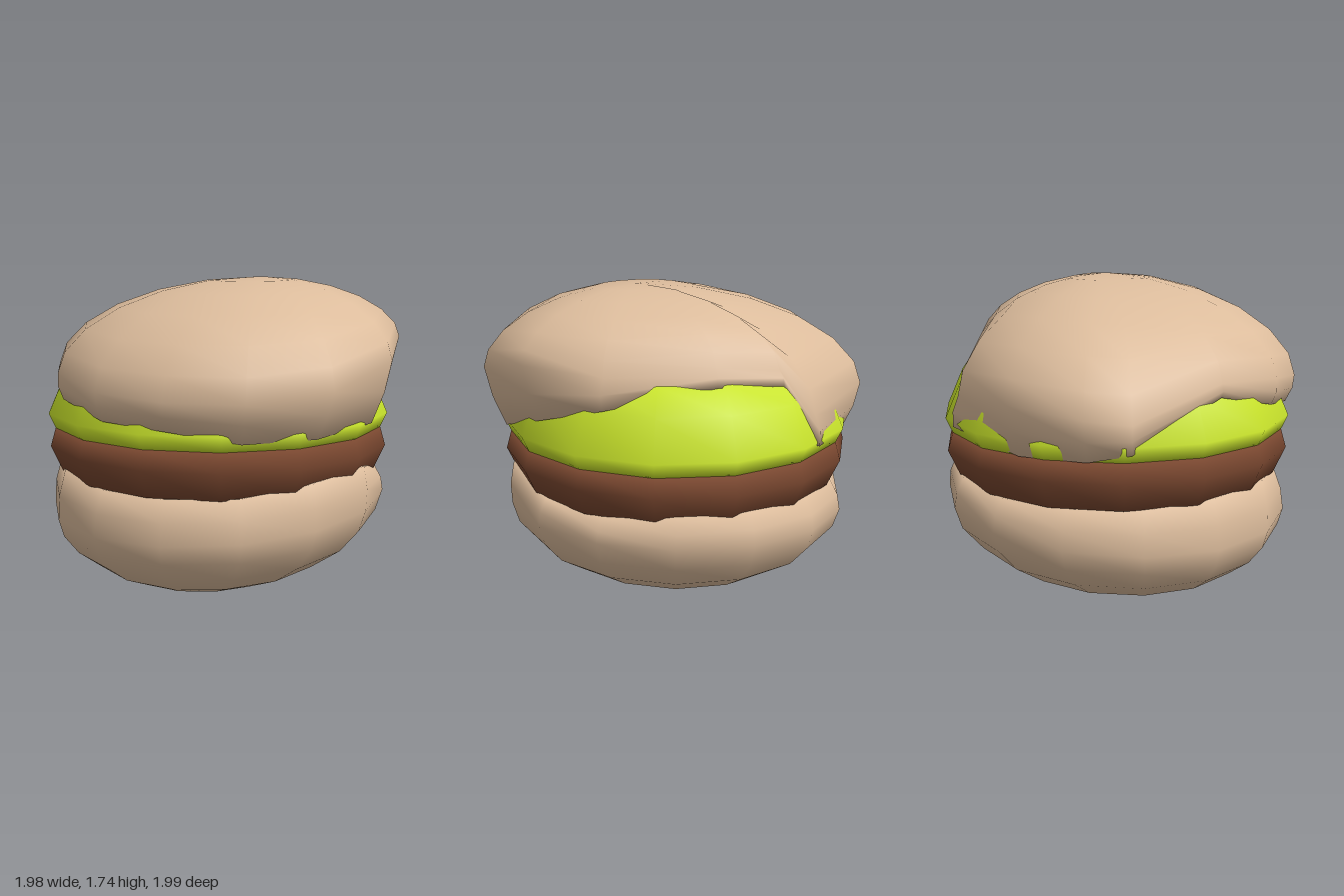
import * as THREE from 'three';
import { mergeVertices } from 'three/addons/utils/BufferGeometryUtils.js';

const SIDES = 15;
const CX = -0.03, CZ = -0.03; // axis shared by the two fillings

// [radius, height] profiles, bottom to top
const pattyProfile = [[0, 0.5], [0.5, 0.55], [0.9, 0.68], [0.965, 0.83], [0.935, 0.93], [0.5, 1.0], [0, 1.02]];
const lettuceProfile = [[0, 0.88], [0.5, 0.89], [0.935, 0.93], [0.97, 1.01], [0.88, 1.21], [0.79, 1.34], [0.5, 1.42], [0, 1.45]];

const mat = (color) => new THREE.MeshStandardMaterial({ color });

function part(name, geometry, color) {
  const mesh = new THREE.Mesh(geometry, mat(color));
  mesh.name = name;
  return mesh;
}

// Turned filling layer
function layer(name, profile, color) {
  const pts = profile.map(([r, y]) => new THREE.Vector2(r, y));
  const mesh = part(name, new THREE.LatheGeometry(pts, SIDES), color);
  mesh.rotation.y = Math.PI;
  mesh.position.set(CX, 0, CZ);
  return mesh;
}

// Radius of a profile at a height
function radiusAt(profile, y) {
  for (let i = 2; i < profile.length - 1; i++) {
    const [r0, y0] = profile[i - 1], [r1, y1] = profile[i];
    if (y >= y0 && y <= y1) return r0 + ((r1 - r0) * (y - y0)) / (y1 - y0);
  }
  return 0.9;
}

// Closed skin over loops of points, listed from top to bottom
function skin(rows) {
  const n = rows[0].length, index = [];
  for (let i = 0; i < rows.length - 1; i++) {
    for (let j = 0; j < n; j++) {
      const k = (j + 1) % n;
      const a = i * n + j, b = i * n + k, c = a + n, d = b + n;
      index.push(a, b, c, b, d, c);
    }
  }
  let g = new THREE.BufferGeometry();
  g.setAttribute('position', new THREE.Float32BufferAttribute(rows.flat(2), 3));
  g.setIndex(index);
  g = mergeVertices(g, 1e-4);
  g.computeVertexNormals();
  return g;
}

// Lopsided half bun: rim points [x, y, z, seamY], an outer pole, and the filling it sits on
function bun(name, rim, pole, profile, color) {
  const rows = [];
  const steps = 6;
  // domed outside, from the pole to the rim
  for (let i = 0; i <= steps; i++) {
    const t = (Math.PI / 2) * (1 - i / steps);
    const c = i === 0 ? 0 : Math.cos(t), s = Math.pow(Math.sin(t), 1.12);
    rows.push(rim.map(([x, y, z]) => [
      pole[0] + (x - pole[0]) * c, y + (pole[1] - y) * s, pole[2] + (z - pole[2]) * c,
    ]));
  }
  // tuck from the rim in to the filling
  const seam = rim.map(([x, , z, y]) => {
    const a = Math.atan2(z - CZ, x - CX), r = radiusAt(profile, y);
    return [CX + r * Math.cos(a), y, CZ + r * Math.sin(a)];
  });
  rows.push(rim.map(([x, y, z], j) => [
    ((x + seam[j][0]) / 2) * 1.015, (y + seam[j][1]) / 2, ((z + seam[j][2]) / 2) * 1.015,
  ]));
  rows.push(seam);
  rows.push(seam.map(([x, y, z]) => [x * 0.85, y, z * 0.85]));
  // closed inside
  const inner = profile === pattyProfile ? 0.72 : 1.15;
  rows.push(rim.map(() => [0, inner, 0]));
  if (pole[1] < inner) rows.reverse();
  return part(name, skin(rows), color);
}

export function createModel() {
  const group = new THREE.Group();
  group.name = 'burger';
  const bread = 0xdcbc9c;

  // Top bun: tipped up at the back left, drooping at the back right
  const topRim = [
    [0.985, 1.42, -0.04, 1.12], [0.95, 1.33, 0.39, 1.0], [0.69, 1.22, 0.78, 0.97],
    [0.3, 1.18, 0.99, 0.97], [-0.1, 1.18, 0.99, 1.03], [-0.46, 1.2, 0.87, 1.05],
    [-0.76, 1.25, 0.58, 1.11], [-0.89, 1.27, 0.2, 1.2], [-0.98, 1.12, -0.3, 0.97],
    [-0.92, 1.15, -0.52, 0.93], [-0.68, 1.2, -0.82, 0.93], [-0.15, 1.15, -0.95, 0.99],
    [-0.02, 1.38, -0.81, 1.3], [0.31, 1.42, -0.7, 1.33], [0.75, 1.38, -0.38, 1.22],
  ];
  group.add(bun('topBun', topRim, [0.22, 1.74, 0], lettuceProfile, bread));

  group.add(layer('lettuce', lettuceProfile, 0xcbe62c));
  group.add(layer('patty', pattyProfile, 0x7b4830));

  // Bottom bun: round rim, slightly tilted, with a wavy seam
  const seamY = [0.69, 0.77, 0.74, 0.69, 0.65, 0.68, 0.71, 0.7, 0.67, 0.66, 0.68, 0.7, 0.72, 0.72, 0.66];
  const bottomRim = seamY.map((y, j) => {
    const a = (j / SIDES) * Math.PI * 2, x = Math.cos(a), z = Math.sin(a);
    return [CX + 0.955 * x, 0.5 + 0.05 * x - 0.04 * z, CZ + 0.965 * z, Math.max(y, 0.68)];
  });
  group.add(bun('bottomBun', bottomRim, [-0.15, 0, 0.1], pattyProfile, bread));

  return group;
}
